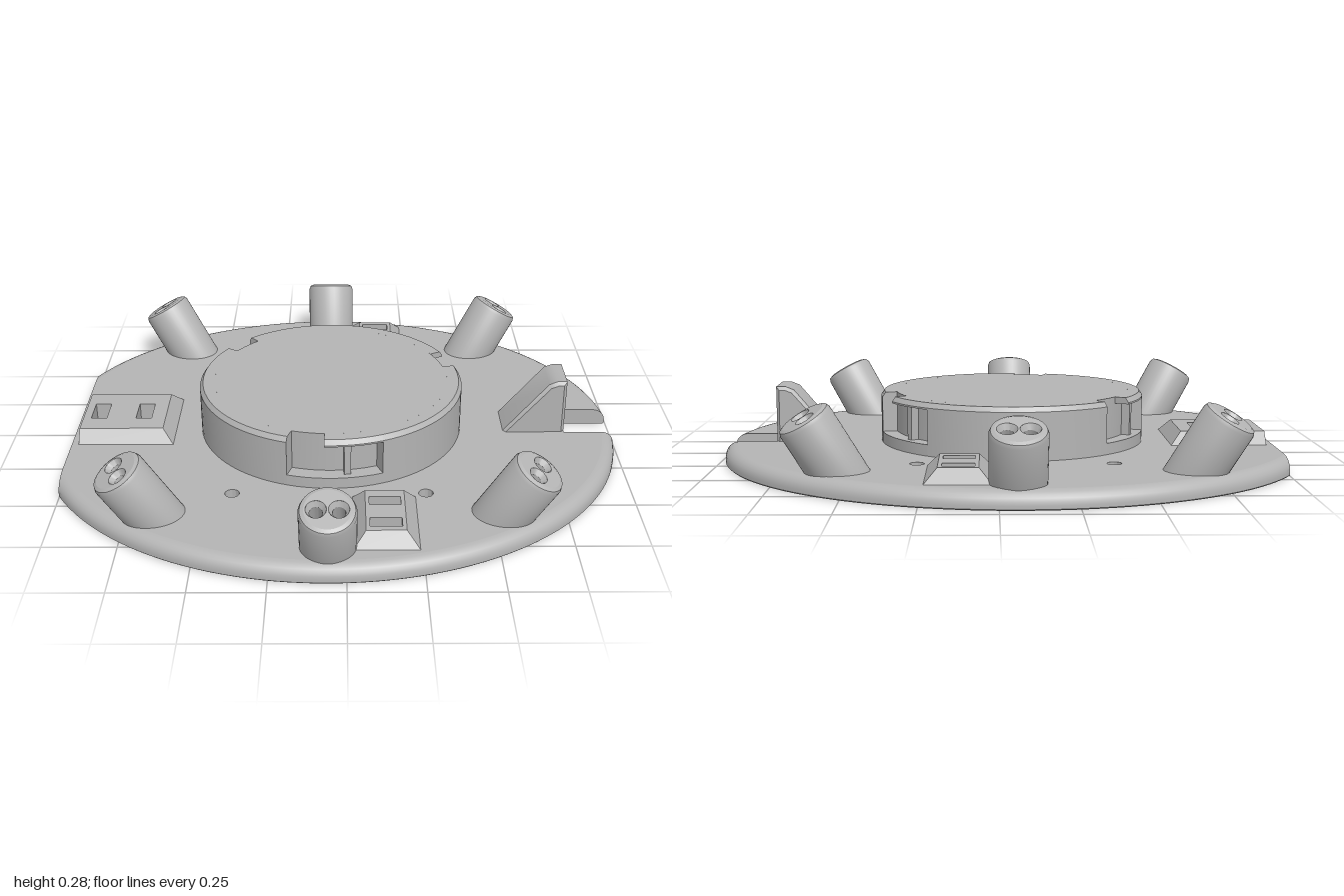
import * as THREE from 'three';
import { toCreasedNormals, mergeGeometries } from 'three/addons/utils/BufferGeometryUtils.js';

const CX = -0.06, A = 1.06, B = 0.957, TOP = 0.06;
const rad = THREE.MathUtils.degToRad;
const grey = new THREE.MeshStandardMaterial({ color: 0xb4b4b4, side: THREE.DoubleSide });
grey.name = 'light grey plastic';

const mesh = (name, geo) => {
  const m = new THREE.Mesh(toCreasedNormals(geo, rad(32)), grey);
  m.name = name;
  return m;
};

const polygon = pts => new THREE.Shape(pts.map(p => new THREE.Vector2(...p)));
const rect = (x0, x1, z0, z1) => polygon([[x0, z0], [x1, z0], [x1, z1], [x0, z1]]);
const disc = (x, z, r, n = 24) => new THREE.Shape().absarc(x, z, r, 0, Math.PI * 2).getPoints(n);

// Slab whose shape is drawn in x and z, reaching from y0 to y1
function slab(shape, y0, y1) {
  return new THREE.ExtrudeGeometry(shape, { depth: y1 - y0, bevelEnabled: false, curveSegments: 24 })
    .rotateX(Math.PI / 2).translate(0, y1, 0);
}

// Closed wall through loops of [x, y, z] points, listed from bottom to top
function loft(loops) {
  const pos = [];
  for (let k = 0; k < loops.length - 1; k++) {
    const a = loops[k], b = loops[k + 1], n = a.length;
    for (let i = 0; i < n; i++) {
      const j = (i + 1) % n;
      pos.push(...a[i], ...b[i], ...a[j], ...a[j], ...b[i], ...b[j]);
    }
  }
  const g = new THREE.BufferGeometry();
  g.setAttribute('position', new THREE.Float32BufferAttribute(pos, 3));
  return g;
}

// Oval outline with a straight cut on one side and a square notch on the other
function outline(inset) {
  const a = A - inset, b = B - inset, n = 60, pts = [];
  const start = Math.asin(0.088 / b), end = Math.acos((-1 - CX) / a);
  for (let i = 0; i <= n; i++) {
    const t = start + (end - start) * i / n;
    pts.push([CX + a * Math.cos(t), b * Math.sin(t)]);
  }
  pts.push(...pts.slice().reverse().map(([x, z]) => [x, -z]));
  pts.push([0.81, -0.088], [0.81, 0.088]);
  return pts;
}

// Sensor tubes: base position, yaw, tilt
const tubes = [];
for (const s of [1, -1]) {
  tubes.push({ x: CX, z: 0.83 * s, yaw: s > 0 ? 0 : Math.PI, tilt: rad(22) });
  for (const side of [1, -1])
    tubes.push({ x: CX + 0.585 * side, z: 0.636 * s, yaw: Math.atan2(0.95 * side, 0.32 * s), tilt: rad(31) });
}

// Raised pads: footprint, bevels (x0, x1, z0, z1) and through slots
const pads = [{
  name: 'sidePad', box: [-0.975, -0.63, -0.177, 0.177], bevel: [0, 0.04, 0.042, 0.042],
  slots: [[-0.946, -0.888, -0.057, 0.057], [-0.78, -0.722, -0.057, 0.057]],
}];
for (const s of [1, -1]) {
  const span = (a, b) => s > 0 ? [a, b] : [-b, -a];
  pads.push({
    name: s > 0 ? 'frontPad' : 'backPad', box: [0.02, 0.235, ...span(0.54, 0.857)],
    bevel: [0.042, 0.042, ...(s > 0 ? [0.03, 0.045] : [0.045, 0.03])],
    slots: [[0.075, 0.18, ...span(0.737, 0.788)], [0.075, 0.18, ...span(0.608, 0.658)]],
  });
}

function makePlate() {
  const shape = polygon(outline(0.045));
  const hole = pts => shape.holes.push(new THREE.Path(pts));
  for (const x of [-0.39, 0.272]) for (const z of [-0.515, 0.515]) hole(disc(x, z, 0.025));
  for (const p of pads) for (const s of p.slots) hole(rect(...s).getPoints());
  for (const t of tubes) for (const s of [-0.036, 0.036]) {
    const d = -TOP * Math.tan(t.tilt);
    hole(disc(t.x + d * Math.sin(t.yaw) + s * Math.cos(t.yaw),
      t.z + d * Math.cos(t.yaw) - s * Math.sin(t.yaw), 0.017, 16));
  }
  const profile = [[0, 0.045], [0, 0.004], [0.004, 0]];
  for (let i = 0; i <= 6; i++) {
    const t = i / 6 * Math.PI / 2;
    profile.push([0.015 + 0.045 * Math.sin(t), 0.045 * (1 - Math.cos(t))]);
  }
  const rim = loft(profile.map(([y, inset]) => outline(inset).map(([x, z]) => [x, y, z])));
  const g = new THREE.Group();
  g.name = 'basePlate';
  g.add(mesh('plateBody', slab(shape, 0, TOP)), mesh('roundedRim', rim));
  return g;
}

function makePad({ name, box: [x0, x1, z0, z1], bevel: b, slots }) {
  const h = 0.105;
  const ring = (a, c, d, e, y) => [[a, y, d], [c, y, d], [c, y, e], [a, y, e]];
  const inner = [x0 + b[0], x1 - b[1], z0 + b[2], z1 - b[3]];
  const shape = rect(...inner);
  for (const s of slots) shape.holes.push(new THREE.Path(rect(...s).getPoints()));
  const g = new THREE.Group();
  g.name = name;
  g.add(mesh('padTop', slab(shape, TOP, h)),
    mesh('padSlopes', loft([ring(x0, x1, z0, z1, TOP), ring(...inner, h)])));
  return g;
}

function makeTube({ x, z, yaw, tilt }) {
  const R = 0.093, L = 0.183 / Math.cos(tilt), e = 0.018;
  const g = new THREE.Group();
  g.name = 'sensorTube';
  // Outer wall with rounded lip, its foot sheared to sit level in the plate
  const pts = [[R, 0], [R, L - e], [R - e * 0.3, L - e * 0.3], [R - e, L]].map(p => new THREE.Vector2(...p));
  const wall = new THREE.LatheGeometry(pts, 40), p = wall.attributes.position;
  for (let i = 0; i < p.count; i++)
    if (p.getY(i) === 0) p.setY(i, (-0.01 + p.getZ(i) * Math.sin(tilt)) / Math.cos(tilt));
  g.add(mesh('tubeWall', wall));
  // End face with two countersunk bores
  const face = new THREE.Shape(disc(0, 0, R - e, 40));
  for (const s of [-0.036, 0.036]) {
    face.holes.push(new THREE.Path(disc(s, 0, 0.033)));
    const bore = [[0.033, L], [0.021, L - 0.018], [0.021, 0.02 - TOP / Math.cos(tilt)]];
    g.add(mesh('bore', new THREE.LatheGeometry(bore.map(q => new THREE.Vector2(...q)), 24).translate(s, 0, 0)));
  }
  g.add(mesh('tubeFace', new THREE.ShapeGeometry(face).rotateX(-Math.PI / 2).translate(0, L, 0)));
  g.position.set(x, TOP, z);
  g.rotation.set(tilt, yaw, 0, 'YXZ');
  return g;
}

// Ring segment between two angles with closed ends
function sector(from, to, profile) {
  const pts = [...profile, profile[0]].map(q => new THREE.Vector2(...q));
  const parts = [new THREE.LatheGeometry(pts, Math.ceil((to - from) / 4), rad(from), rad(to - from))];
  for (const a of [from, to]) parts.push(new THREE.ShapeGeometry(polygon(profile)).rotateY(rad(a) - Math.PI / 2));
  return mergeGeometries(parts.map(q => q.toNonIndexed()));
}

function makeDrum() {
  const r = 0.43, R = 0.484, c = 0.472, H = 0.245;
  const g = new THREE.Group();
  g.name = 'drum';
  g.add(mesh('drumCore', new THREE.CylinderGeometry(r, r, H - TOP, 90).translate(0, (H + TOP) / 2, 0)));
  // Three bayonet slots, each open at the top at one end
  for (let i = 0; i < 3; i++) {
    const bay = new THREE.Group();
    bay.name = 'bayonetSection';
    bay.add(
      mesh('fullWall', sector(22, 102, [[r, TOP], [R, TOP], [R, 0.228], [c, H], [r, H]])),
      mesh('slotSill', sector(-18, 22, [[r, TOP], [R, TOP], [R, 0.1], [r, 0.1]])),
      mesh('slotLip', sector(-2.5, 22, [[r, 0.222], [R, 0.222], [R, 0.228], [c, H], [r, H]])),
      mesh('slotRib', sector(6, 9, [[r, 0.1], [0.46, 0.1], [0.46, 0.222], [r, 0.222]])));
    bay.rotation.y = i * Math.PI * 2 / 3;
    g.add(bay);
  }
  g.position.x = CX + 0.005;
  return g;
}

// Sloped fin standing at the notch
function makeFin() {
  const side = polygon([[0.575, 0.05], [0.81, 0.002], [0.81, 0.262], [0.775, 0.262], [0.745, 0.25]]);
  const geo = new THREE.ExtrudeGeometry(side, {
    depth: 0.148, bevelThickness: 0.012, bevelSize: 0.012, bevelOffset: -0.012, bevelSegments: 1,
  });
  return mesh('notchFin', geo.translate(0, 0, -0.074));
}

export function createModel() {
  const model = new THREE.Group();
  model.name = 'sensorBase';
  model.add(makePlate(), makeDrum(), makeFin(), ...pads.map(makePad), ...tubes.map(makeTube));
  return model;
}
